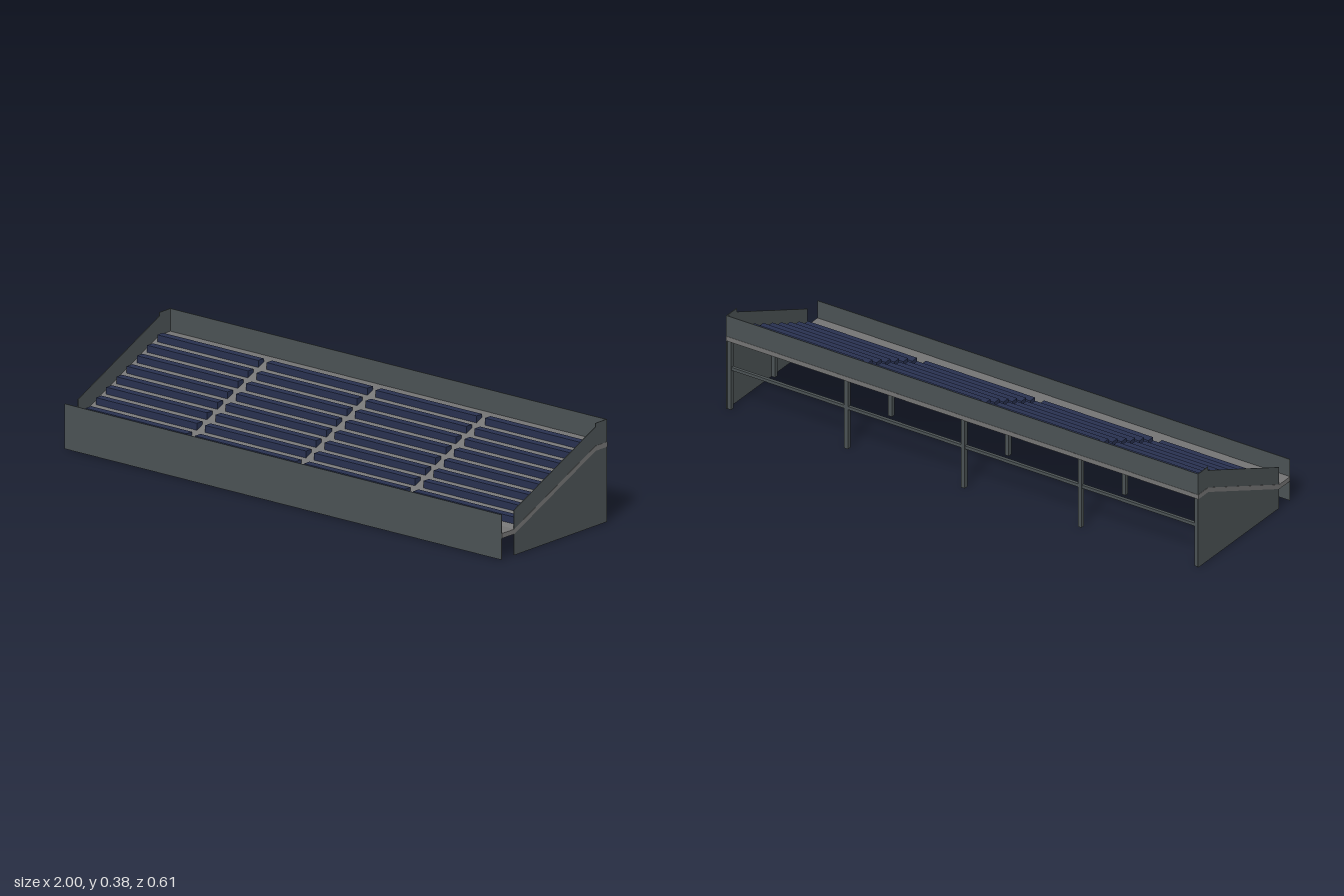
import * as THREE from 'three';

const material = (name, color) => {
  const m = new THREE.MeshStandardMaterial({ color });
  m.name = name;
  return m;
};

export function createModel() {
  const panel = material('slate panel', 0x4b5254);
  const concrete = material('concrete grey', 0x747474);
  const navy = material('navy seat', 0x283150);

  const group = new THREE.Group();
  group.name = 'grandstand';
  const half = 0.995; // half of the stand's length

  const add = (name, geometry, mat) => {
    const mesh = new THREE.Mesh(geometry, mat);
    mesh.name = name;
    group.add(mesh);
    return mesh;
  };

  // Box given by its minimum and maximum on each axis
  const box = (name, mat, [x0, x1], [y0, y1], [z0, z1]) => {
    const mesh = add(name, new THREE.BoxGeometry(x1 - x0, y1 - y0, z1 - z0), mat);
    mesh.position.set((x0 + x1) / 2, (y0 + y1) / 2, (z0 + z1) / 2);
    return mesh;
  };

  // Extrude a side outline of [z, y] points along x, starting at x0
  const sideExtrude = (name, mat, points, x0, length) => {
    const shape = new THREE.Shape(points.map(([z, y]) => new THREE.Vector2(-z, y)));
    const geometry = new THREE.ExtrudeGeometry(shape, { depth: length, bevelEnabled: false });
    geometry.rotateY(Math.PI / 2);
    geometry.translate(x0, 0, 0);
    return add(name, geometry, mat);
  };

  // Sloped deck with a flat walkway at the front and at the top
  const deckTop = [[0.285, 0.096], [0.217, 0.096], [-0.224, 0.293], [-0.287, 0.293]];
  const deckBottom = deckTop.map(([z, y]) => [z, y - 0.018]).reverse();
  sideExtrude('deck', concrete, [...deckTop, ...deckBottom], -half - 0.001, 2 * half + 0.002);

  // End walls
  const endOutline = [
    [0.217, 0], [0.217, 0.165], [-0.224, 0.362], [-0.224, 0.376], [-0.286, 0.376], [-0.286, 0],
  ];
  const thick = 0.003;
  sideExtrude('leftEndWall', panel, endOutline, half - thick, thick);
  sideExtrude('rightEndWall', panel, endOutline, -half, thick);

  // Front and back walls
  box('frontWall', panel, [-half, half], [0, 0.165], [0.284, 0.287]);
  box('backWall', panel, [-half, half], [0.293, 0.376], [-0.286, -0.283]);

  // Bench rows in four sections, stepping up the deck
  const slope = 0.197 / 0.441;
  const pitch = 0.0556;
  for (let row = 0; row < 8; row++) {
    const z = 0.181 - row * pitch;
    const top = 0.131 + row * pitch * slope;
    for (let s = 0; s < 4; s++) {
      const x = -0.746 + s * 0.4975;
      box('bench', navy, [x - 0.23, x + 0.23], [top - 0.026, top], [z - 0.015, z + 0.015]);
    }
  }

  // Support posts under the deck, tall at the back and short in the middle
  for (let i = -2; i <= 2; i++) {
    const x = i * 0.4925;
    box('backPost', panel, [x - 0.008, x + 0.008], [0, 0.28], [-0.282, -0.266]);
    box('middlePost', panel, [x - 0.008, x + 0.008], [0, 0.18], [-0.008, 0.008]);
  }

  // Rail joining the back posts
  box('backRail', panel, [-half + thick, half - thick], [0.158, 0.17], [-0.28, -0.268]);

  // The stand is turned by one degree
  group.rotation.y = 0.0175;
  const model = new THREE.Group();
  model.name = 'model';
  model.add(group);
  return model;
}
